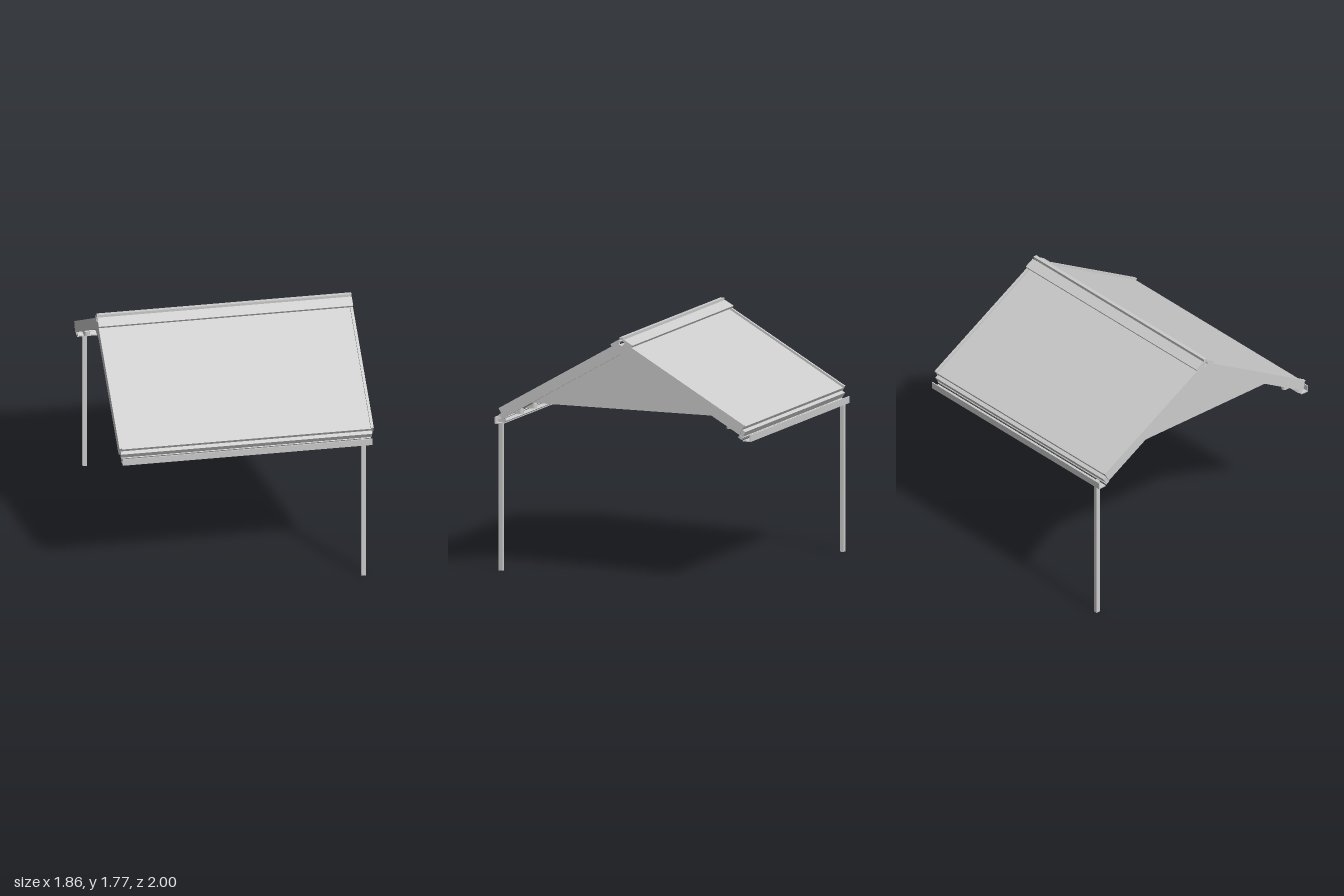
import * as THREE from 'three';

const PITCH = Math.PI / 6; // roof slope
const RIDGE = 1.749;       // height where the two slopes meet

export function createModel() {
  const model = new THREE.Group();
  model.name = 'canopy';
  const grey = new THREE.MeshStandardMaterial({ color: 0xcccccc });
  grey.name = 'light grey';

  function add(parent, name, geometry) {
    const mesh = new THREE.Mesh(geometry, grey);
    mesh.name = name;
    parent.add(mesh);
    return mesh;
  }

  // Box given by its centre x, width and its y and z ranges
  function box(parent, name, x, width, y0, y1, z0, z1) {
    const mesh = add(parent, name, new THREE.BoxGeometry(width, y1 - y0, z1 - z0));
    mesh.position.set(x, (y0 + y1) / 2, (z0 + z1) / 2);
  }

  // Upright plate cut from a (z, y) outline, centred on x
  function plate(name, points, x, thickness) {
    const shape = new THREE.Shape(points.map(([z, y]) => new THREE.Vector2(z, y)));
    const geometry = new THREE.ExtrudeGeometry(shape, { depth: thickness, bevelEnabled: false });
    geometry.translate(0, 0, -thickness / 2);
    geometry.rotateY(-Math.PI / 2);
    add(model, name, geometry).position.x = x;
  }

  // Bracket outline: flat at the eave, rounded at the inner end
  const bracketShape = new THREE.Shape();
  bracketShape.moveTo(-0.022, 0.045);
  bracketShape.lineTo(-0.022, -0.045);
  bracketShape.absarc(0, -0.045, 0.022, Math.PI, 2 * Math.PI, false);
  bracketShape.lineTo(0.022, 0.045);
  bracketShape.closePath();
  const bracketGeometry = new THREE.ExtrudeGeometry(bracketShape, {
    depth: 0.035, bevelEnabled: false, curveSegments: 8,
  });
  bracketGeometry.rotateX(Math.PI / 2);

  // One half of the canopy; the other is the same half turned around
  function half(angle, name) {
    const side = new THREE.Group();
    side.name = name;
    side.rotation.y = angle;
    model.add(side);

    // Sloped parts: local z runs down the slope, local y is its normal
    const slope = new THREE.Group();
    slope.name = 'slope';
    slope.position.y = RIDGE;
    slope.rotation.x = PITCH;
    side.add(slope);
    box(slope, 'roofPanel', 0, 1.82, -0.075, -0.015, 0.03, 1.107);
    box(slope, 'ridgeCap', 0, 1.855, 0, 0.018, 0.012, 0.09);
    box(slope, 'eaveRail', 0, 1.83, -0.082, -0.04, 1.1, 1.135);
    box(slope, 'eaveLip', 0, 1.82, -0.108, -0.085, 1.105, 1.14);

    // Gutter channel
    box(side, 'gutterBase', 0, 1.82, 1.076, 1.084, 0.937, 1.0);
    box(side, 'gutterFront', 0, 1.82, 1.076, 1.125, 0.992, 1.0);

    // Single post at one corner
    box(side, 'post', 0.85, 0.031, 0, 1.11, 0.955, 0.985);

    // Row of brackets under the eave
    for (let i = 0; i < 8; i++) {
      const bracket = add(side, 'bracket', bracketGeometry);
      bracket.position.set(-0.86 + i * (1.72 / 7), 1.19, 0.86);
    }
  }
  half(0, 'frontHalf');
  half(Math.PI, 'backHalf');

  // Ridge rod along the top
  box(model, 'ridgeRod', 0, 1.855, 1.755, 1.775, -0.014, 0.014);

  // Rafter arms meeting at the ridge, and the triangular gables set in from them
  const arm = [
    [0, 1.656], [0.92, 1.126], [0.96, 1.195], [0.02, 1.737], [0.02, 1.725], [0, 1.71],
  ];
  const gable = [[0.75, 1.23], [0, 1.67], [-0.75, 1.23]];
  for (const s of [-1, 1]) {
    plate('rafter', arm, s * 0.917, 0.02);
    plate('rafter', arm.map(([z, y]) => [-z, y]), s * 0.917, 0.02);
    plate('gablePanel', gable, s * 0.785, 0.05);
  }
  return model;
}
